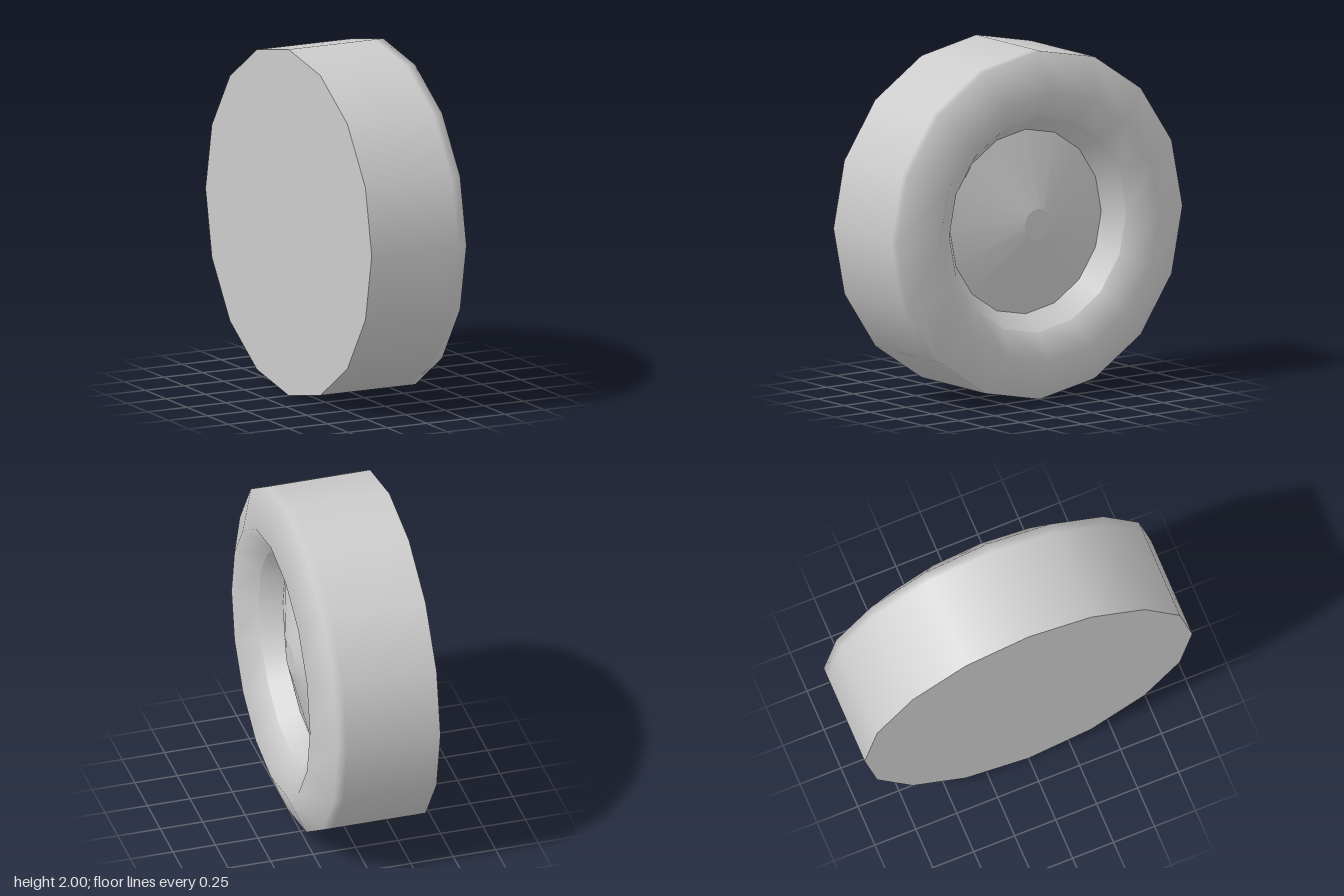
import * as THREE from 'three';

const SIDES = 16;

export function createModel() {
  const group = new THREE.Group();
  const wheel = new THREE.Group();
  wheel.name = 'wheel';
  const material = new THREE.MeshStandardMaterial({ color: 0xcccccc });

  // Revolves a [radius, axial position] profile; the parts meet at sharp edges
  const turned = (name, profile) => {
    const points = profile.map(([r, a]) => new THREE.Vector2(r, a));
    const mesh = new THREE.Mesh(new THREE.LatheGeometry(points, SIDES), material);
    mesh.name = name;
    wheel.add(mesh);
  };

  // Flat inner side
  turned('backPlate', [[0, -0.35], [1, -0.35]]);

  // Tread, shoulder and rounded lip
  turned('tire', [[1, -0.35], [1, 0.2], [1, 0.255], [0.77, 0.35], [0.62, 0.235]]);

  // Recess wall leading down to the hub cap
  turned('rimWall', [[0.62, 0.235], [0.53, 0.12]]);

  // Shallow cone with a small flat centre
  turned('hubCap', [[0.53, 0.12], [0.09, 0.235]]);
  turned('hubCentre', [[0.09, 0.235], [0, 0.235]]);

  // Lay the axle along x, with the hub cap facing +x
  wheel.rotation.z = -Math.PI / 2;
  wheel.position.y = 1;
  group.add(wheel);
  return group;
}
